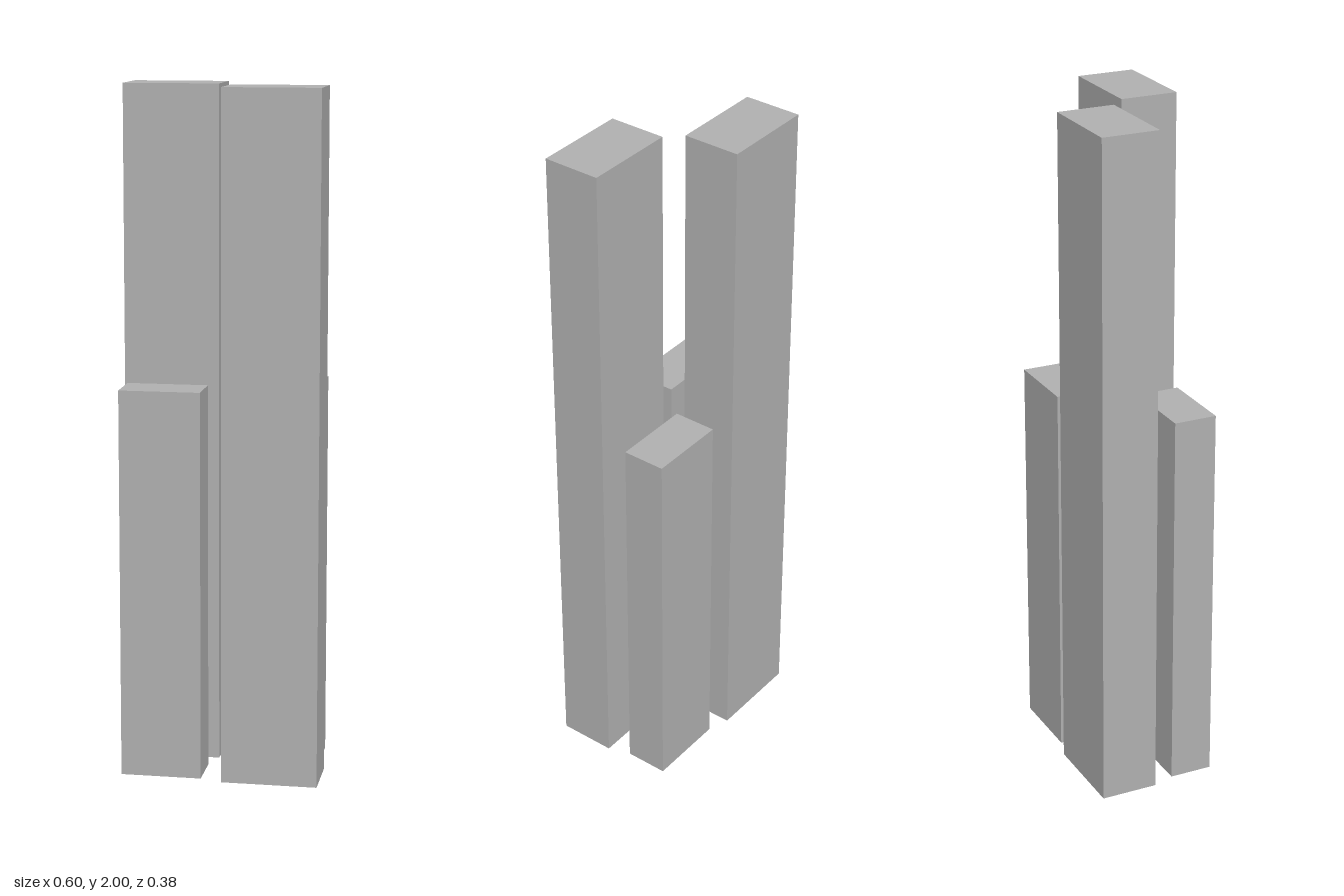
import * as THREE from 'three';

export function createModel() {
  const model = new THREE.Group();
  const concrete = new THREE.MeshStandardMaterial({ color: 0xb0b0b0 });
  concrete.name = 'concrete grey';

  // A rectangular block standing on the ground
  function tower(name, width, height, depth, x, z) {
    const mesh = new THREE.Mesh(new THREE.BoxGeometry(width, height, depth), concrete);
    mesh.name = name;
    mesh.position.set(x, height / 2, z);
    model.add(mesh);
  }

  // Tall and short towers alternate around the centre, each pair on a diagonal
  for (const [side, s] of [['front', 1], ['back', -1]]) {
    tower(side + 'TallTower', 0.279, 2, 0.17, 0.161 * s, 0.107 * s);
    tower(side + 'ShortTower', 0.236, 1.143, 0.128, -0.161 * s, 0.107 * s);
  }
  return model;
}
